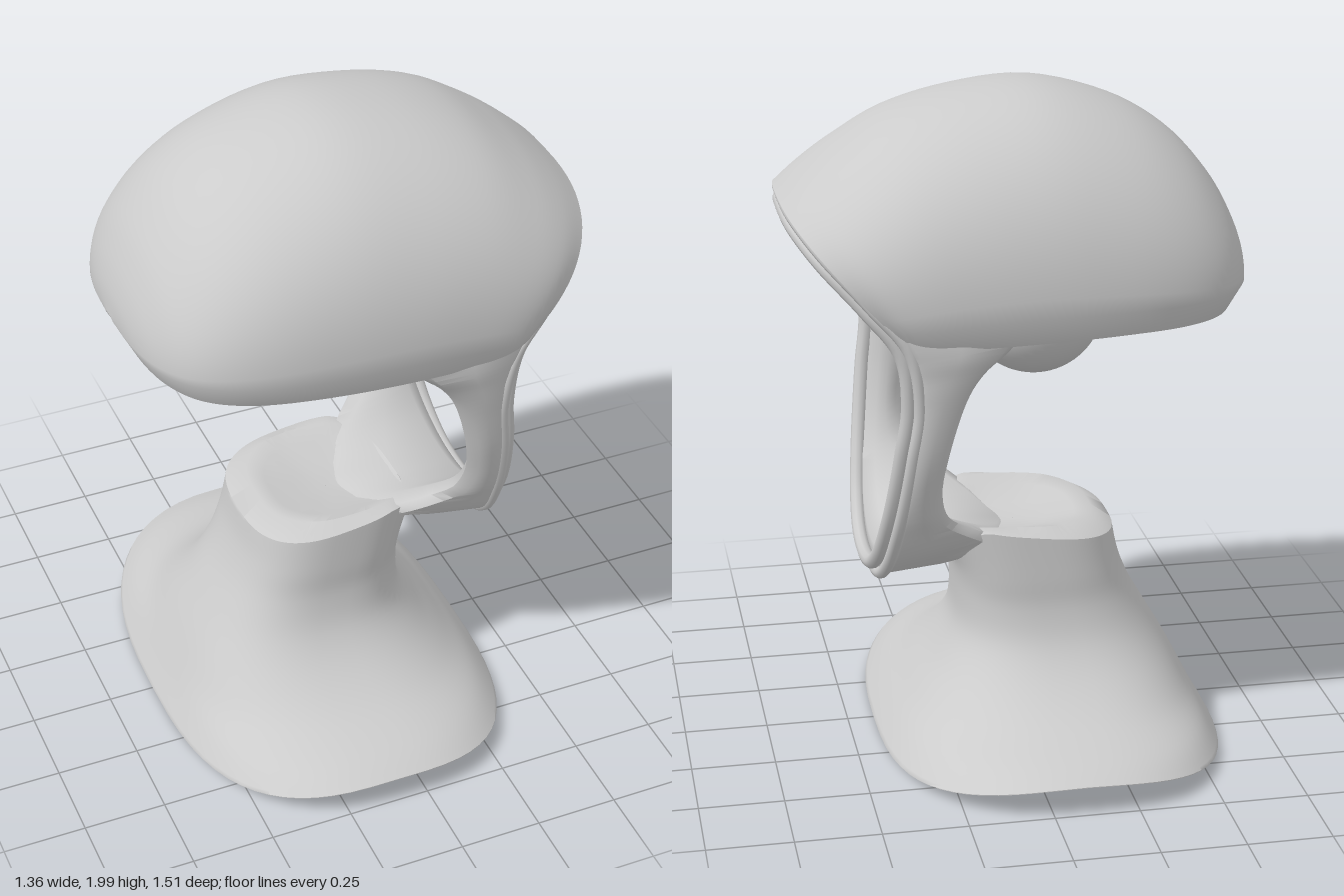
import * as THREE from 'three';
import { toCreasedNormals } from 'three/addons/utils/BufferGeometryUtils.js';

const material = new THREE.MeshStandardMaterial({ color: 0xcccccc, side: THREE.DoubleSide });

// Smoothly resample rows of numbers
function spline(rows, count) {
  const out = [];
  const at = (i) => rows[Math.min(rows.length - 1, Math.max(0, i))];
  for (let k = 0; k <= count; k++) {
    const s = (k / count) * (rows.length - 1);
    const i = Math.min(Math.floor(s), rows.length - 2), t = s - i;
    out.push(rows[0].map((_, c) => {
      const [a, b, d, e] = [at(i - 1)[c], at(i)[c], at(i + 1)[c], at(i + 2)[c]];
      return b + 0.5 * t * (d - a + t * (2 * a - 5 * b + 4 * d - e + t * (3 * (b - d) + e - a)));
    }));
  }
  return out;
}

// Skin a list of rings of [x, y, z] points
function loft(rings, closed, crease = 0.9) {
  const n = rings[0].length, index = [];
  const span = closed ? n : n - 1;
  for (let i = 0; i < rings.length - 1; i++) {
    for (let j = 0; j < span; j++) {
      const a = i * n + j, b = i * n + ((j + 1) % n);
      index.push(a, b, a + n, b, b + n, a + n);
    }
  }
  const g = new THREE.BufferGeometry();
  g.setAttribute('position', new THREE.Float32BufferAttribute(rings.flat(2), 3));
  g.setIndex(index);
  return toCreasedNormals(g, crease);
}

const power = (v, n) => Math.sign(v) * Math.abs(v) ** (2 / n);
const clamp = THREE.MathUtils.clamp;
const lerp = THREE.MathUtils.lerp;

// x of the face opening's front plane at height y
function faceX(y) {
  const t = [[0.5, 0.428], [0.9, 0.378], [1.18, 0.345], [1.26, 0.345], [1.32, 0.357], [1.4, 0.405], [1.7, 0.685]];
  let i = 0;
  while (i < t.length - 2 && y > t[i + 1][0]) i++;
  return lerp(t[i][1], t[i + 1][1], (y - t[i][0]) / (t[i + 1][0] - t[i][0]));
}

// Dome: slanting arches from back to brow, with a tucked lower edge and shallow hollow
function domeGeometry() {
  // belt x, belt y, crown x, crown y, half width, roundness
  const rows = spline([
    [-0.68, 1.45, -0.682, 1.46, 0.03, 2], [-0.67, 1.445, -0.672, 1.53, 0.17, 2],
    [-0.64, 1.44, -0.64, 1.62, 0.29, 2], [-0.58, 1.44, -0.58, 1.725, 0.39, 2],
    [-0.48, 1.44, -0.47, 1.845, 0.46, 2.05], [-0.34, 1.44, -0.31, 1.94, 0.505, 2.1],
    [-0.16, 1.44, -0.08, 2.0, 0.53, 2.15], [0.02, 1.44, 0.15, 1.98, 0.54, 2.2],
    [0.18, 1.43, 0.35, 1.92, 0.54, 2.3], [0.3, 1.42, 0.5, 1.83, 0.535, 2.4],
    [0.37, 1.41, 0.6, 1.755, 0.52, 2.5], [0.405, 1.4, 0.675, 1.69, 0.49, 2.6],
  ], 55);
  return loft(rows.map(([bx, by, tx, ty, w, n]) => {
    const ring = [];
    for (let j = 0; j <= 40; j++) {
      const a = (j / 40) * Math.PI, h = power(Math.sin(a), n);
      ring.push([lerp(bx, tx, h), lerp(by, ty, h), w * power(Math.cos(a), n)]);
    }
    const low = 1.365 - 0.02 * clamp(bx + 0.3, 0, 1);
    for (const s of [-0.94, -0.85, -0.4, 0, 0.4, 0.85, 0.94]) {
      ring.push([bx * 0.94, low + 0.035 * (1 - (s / 0.94) ** 2), w * s]);
    }
    return ring;
  }), true, 0.7);
}

// Jaw and cheek pillars: one U-shaped band
function jawGeometry() {
  // outer z, outer y, inner z, inner y, back x
  const half = [
    [0.5, 1.44, 0.42, 1.4, 0], [0.515, 1.34, 0.41, 1.32, 0.08], [0.51, 1.27, 0.405, 1.26, 0.15],
    [0.5, 1.18, 0.4, 1.18, 0.2], [0.475, 1.02, 0.38, 1.02, 0.245], [0.43, 0.88, 0.34, 0.88, 0.26],
    [0.37, 0.76, 0.28, 0.78, 0.22], [0.29, 0.64, 0.19, 0.7, 0.1], [0.16, 0.55, 0.09, 0.66, 0.03],
    [0, 0.52, 0, 0.65, 0],
  ];
  const other = half.slice(0, -1).reverse().map(([a, b, c, d, e]) => [-a, b, -c, d, e]);
  return loft(spline([...half, ...other], 90).map(([zo, yo, zi, yi, xb]) => {
    const lift = 0.04 * clamp((0.8 - yo) / 0.2, 0, 1);
    const point = (back, dx, k) => {
      const y = lerp(yo, yi, k), f = faceX(y);
      const x = lerp(f, xb, back) + dx;
      return [x, y + lift * back * (1 - k), lerp(zo, zi, k) * (1 - 0.12 * back * (lift / 0.04))];
    };
    return [point(1, 0, 0.5), point(1, 0.025, 0.1), point(0.5, 0, 0), point(0, -0.03, 0.05),
      point(0, 0, 0.25), point(0, 0.005, 0.7), point(0, -0.03, 1), point(0.5, 0, 1.03), point(1, 0.025, 0.95)];
  }), true, 1.0);
}

// Closed trim around the face opening
function rimGeometry(sz, sy, forward, radius) {
  const half = [[0, 1.68], [0.22, 1.665], [0.38, 1.6], [0.46, 1.48], [0.485, 1.35], [0.475, 1.18],
    [0.45, 1.02], [0.4, 0.86], [0.34, 0.74], [0.26, 0.63], [0.15, 0.555], [0, 0.53]];
  const loop = [...half, ...half.slice(1, -1).reverse().map(([z, y]) => [-z, y])];
  const path = new THREE.CatmullRomCurve3(loop.map(([z, y]) => {
    const yy = 1.12 + (y - 1.12) * sy;
    return new THREE.Vector3(faceX(yy) + forward, yy, z * sz);
  }), true);
  return new THREE.TubeGeometry(path, 140, radius, 10, true);
}

// Recessed brow panel with a wide slot and a lower bar
function panelGeometry() {
  const profile = [[0.64, 1.675], [0.57, 1.635], [0.5, 1.585], [0.45, 1.52], [0.43, 1.505], [0.33, 1.53],
    [0.28, 1.5], [0.26, 1.44], [0.3, 1.39], [0.36, 1.38], [0.375, 1.365], [0.36, 1.35], [0.31, 1.345],
    [0.31, 1.325], [0.345, 1.315], [0.345, 1.29], [0.31, 1.275], [0.22, 1.285], [0.13, 1.32], [0.02, 1.38]];
  return loft(profile.map(([x, y]) => {
    const w = 0.47 * (1 - Math.abs(Math.max(y, 1.35) - 1.35) ** 2.5 / 0.34 ** 2.5) ** 0.4;
    return [-1, -0.85, -0.5, 0, 0.5, 0.85, 1].map((s) => [x, y, s * w]);
  }), false, 0.6);
}

// Neck and flared base with an arched underside
function bustGeometry() {
  const arch = (x) => 0.09 * (1 - ((x + 0.095) / 0.515) ** 2);
  const ringAt = (x0, x1, b, n, height) => {
    const ring = [];
    for (let j = 0; j < 64; j++) {
      const a = (j / 64) * Math.PI * 2;
      const x = (x0 + x1) / 2 + ((x1 - x0) / 2) * power(Math.cos(a), n), z = b * power(Math.sin(a), n);
      ring.push([x, height(x, z), z]);
    }
    return ring;
  };
  const rings = [];
  for (const s of [0.001, 0.25, 0.5, 0.75, 1]) {
    rings.push(ringAt(-0.095 - 0.515 * s, -0.095 + 0.515 * s, 0.755 * s, 2.7, (x) => 0.01 + arch(x)));
  }
  const topY = (x, z, w) => w * (0.13 * (x + 0.31)
    - 0.1 * clamp((x + 0.15) / 0.35, 0, 1) * Math.max(0, 1 - (z / 0.26) ** 2));
  // y, back x, front x, half depth, arch share, roundness, top slope share
  const side = spline([
    [0.012, -0.61, 0.42, 0.755, 1, 2.7, 0], [0.065, -0.575, 0.37, 0.68, 0.75, 2.7, 0],
    [0.13, -0.54, 0.31, 0.52, 0.55, 2.6, 0], [0.23, -0.49, 0.235, 0.4, 0.25, 2.6, 0],
    [0.34, -0.43, 0.18, 0.32, 0.05, 2.6, 0], [0.45, -0.37, 0.17, 0.285, 0, 2.7, 0],
    [0.55, -0.33, 0.18, 0.28, 0, 2.8, 0], [0.645, -0.31, 0.22, 0.275, 0, 2.8, 1],
  ], 35);
  for (const [y, x0, x1, b, k, n, w] of side) {
    rings.push(ringAt(x0, x1, b, n, (x, z) => y + k * arch(x) + topY(x, z, w)));
  }
  // Dished top of the neck
  for (const [y, x0, x1, b] of [[0.68, -0.25, 0.2, 0.23], [0.665, -0.2, 0.17, 0.18], [0.645, -0.12, 0.1, 0.1], [0.64, -0.02, -0.018, 0.002]]) {
    rings.push(ringAt(x0, x1, b, 2.6, (x, z) => y + topY(x, z, 0.7)));
  }
  return loft(rings, true, 0.8);
}

export function createModel() {
  const model = new THREE.Group();
  model.name = 'helmetBust';
  const add = (name, geometry, x = 0, y = 0, z = 0) => {
    const mesh = new THREE.Mesh(geometry, material);
    mesh.name = name;
    mesh.position.set(x, y, z);
    model.add(mesh);
  };
  add('dome', domeGeometry());
  add('jawBand', jawGeometry());
  add('outerRim', rimGeometry(1, 1, -0.01, 0.018));
  add('innerRim', rimGeometry(0.93, 0.94, 0.018, 0.022));
  add('browPanel', panelGeometry());
  add('neckAndBase', bustGeometry());

  // Half ball hanging under the dome
  add('ball', new THREE.SphereGeometry(0.21, 40, 20, 0, Math.PI * 2, Math.PI / 2, Math.PI / 2), -0.08, 1.325);
  add('ballPlate', new THREE.CylinderGeometry(0.225, 0.21, 0.08, 40), -0.08, 1.365);
  add('plateTab', new THREE.BoxGeometry(0.14, 0.03, 0.1), -0.25, 1.35);
  return model;
}
